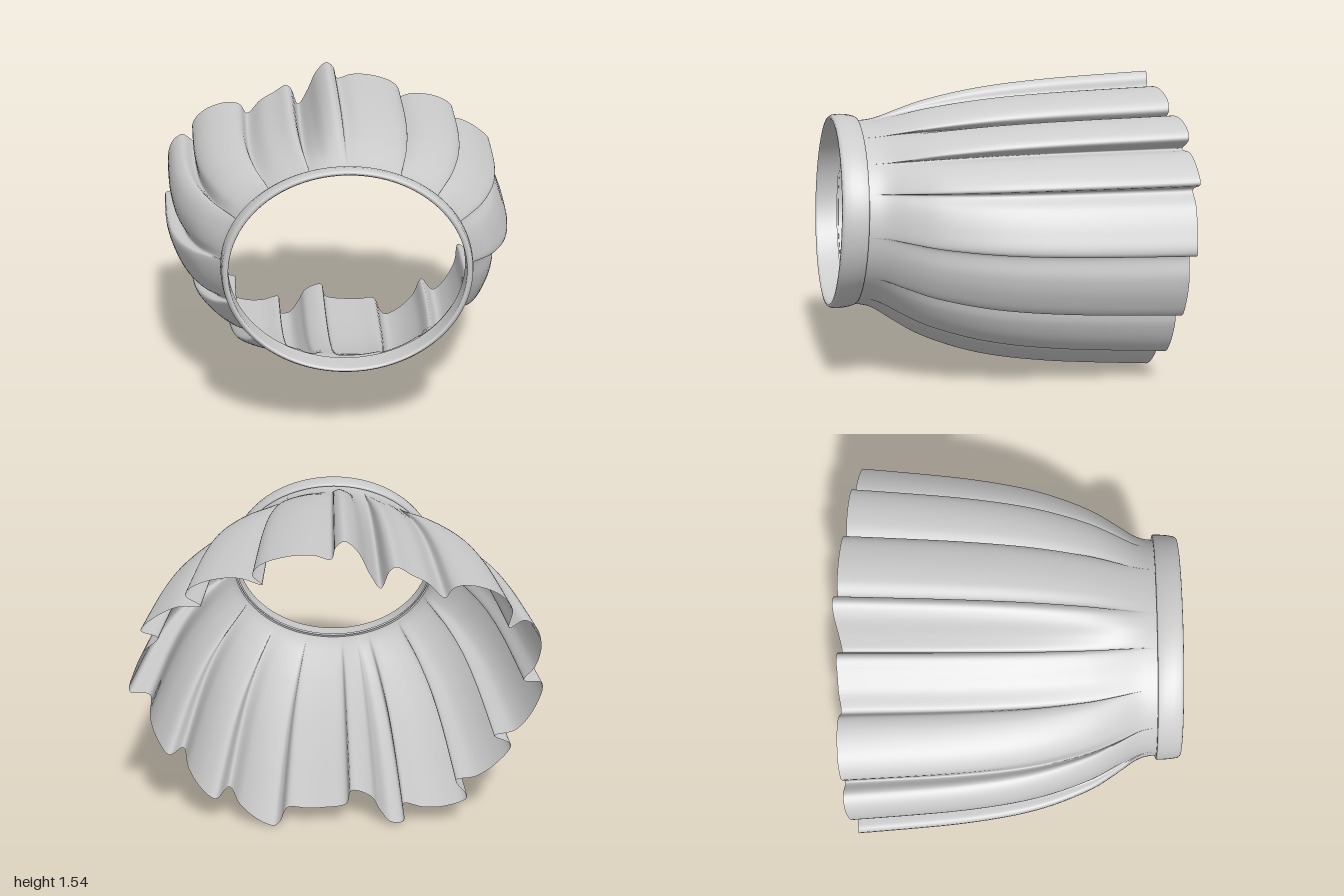
import * as THREE from 'three';

const material = new THREE.MeshStandardMaterial({ color: 0xcccccc, side: THREE.DoubleSide });

// Skins a list of closed rings (clockwise seen from the front, running front to back)
function loft(name, rings) {
  const n = rings[0].length;
  const positions = rings.flat().flatMap((p) => [p.x, p.y, p.z]);
  const index = [];
  for (let j = 0; j < rings.length - 1; j++) {
    for (let i = 0; i < n; i++) {
      const k = (i + 1) % n;
      const a = j * n + i, b = j * n + k, c = a + n, d = b + n;
      index.push(a, b, c, b, d, c);
    }
  }
  const geometry = new THREE.BufferGeometry();
  geometry.setAttribute('position', new THREE.Float32BufferAttribute(positions, 3));
  geometry.setIndex(index);
  geometry.computeVertexNormals();
  const mesh = new THREE.Mesh(geometry, material);
  mesh.name = name;
  return mesh;
}

// Hem outline, clockwise: each row is one knife pleat, from its inner fold to its tip
const pleats = [
  [-0.21, 1.31, -0.16, 1.38, -0.1, 1.5, -0.04, 1.55, 0.0, 1.52],
  [0.02, 1.46, 0.1, 1.48, 0.22, 1.475, 0.35, 1.43, 0.385, 1.38],
  [0.34, 1.33, 0.45, 1.365, 0.58, 1.355, 0.68, 1.31, 0.7, 1.275],
  [0.63, 1.22, 0.74, 1.215, 0.85, 1.16, 0.92, 1.09],
  [0.84, 1.05, 0.91, 0.98, 0.97, 0.86, 0.995, 0.755],
  [0.9, 0.74, 0.905, 0.62, 0.88, 0.51, 0.82, 0.41],
  [0.75, 0.45, 0.73, 0.34, 0.67, 0.22, 0.6, 0.16],
  [0.53, 0.23, 0.48, 0.13, 0.39, 0.04, 0.31, 0.005, 0.28, 0.03],
  [0.24, 0.11, 0.14, 0.105, 0.05, 0.11, -0.055, 0.13],
  [-0.08, 0.205, -0.18, 0.17, -0.22, 0.1, -0.28, 0.025, -0.345, 0.03],
  [-0.34, 0.13, -0.44, 0.11, -0.55, 0.115, -0.66, 0.165],
  [-0.6, 0.26, -0.7, 0.285, -0.8, 0.36, -0.865, 0.46],
  [-0.78, 0.51, -0.88, 0.54, -0.96, 0.64, -1.0, 0.795],
  [-0.91, 0.81, -0.96, 0.89, -0.98, 1.0, -0.95, 1.1, -0.89, 1.14],
  [-0.82, 1.1, -0.83, 1.2, -0.76, 1.28, -0.62, 1.325, -0.55, 1.31],
  [-0.51, 1.26, -0.43, 1.335, -0.35, 1.38, -0.28, 1.42, -0.25, 1.4],
];

function createSkirt() {
  const points = [];
  for (const row of pleats) {
    for (let i = 0; i < row.length; i += 2) points.push(new THREE.Vector3(row[i], row[i + 1], 0));
  }
  const hem = new THREE.CatmullRomCurve3(points, true, 'centripetal').getPoints(points.length * 6);
  hem.pop();

  // Flare from waist to hem: (z, share of the full spread)
  const flare = new THREE.SplineCurve([
    [0.78, 0], [0.7, 0.01], [0.63, 0.07], [0.53, 0.24], [0.4, 0.44], [0.2, 0.64],
    [0, 0.77], [-0.25, 0.87], [-0.5, 0.935], [-0.8, 1],
  ].map(([z, f]) => new THREE.Vector2(z, f)));

  const rings = flare.getPoints(36).map(({ x: z, y: f }) => hem.map((h) => {
    // Each hem point runs up to the same direction on the oval waist
    const angle = Math.atan2((h.y - 0.78) / 0.75, h.x / 0.96);
    const x = THREE.MathUtils.lerp(0.585 * Math.cos(angle), h.x, f);
    const y = THREE.MathUtils.lerp(0.85 + 0.475 * Math.sin(angle), h.y, f);
    const waistTilt = -0.06 * (y - 0.85) * (1 - f);
    const hemTilt = -0.12 * Math.max(0, y - 0.8) * f;
    return new THREE.Vector3(x, y, z + waistTilt + hemTilt);
  }));
  return loft('pleatedSkirt', rings);
}

function createWaistband() {
  // Band section: (half width, half height, z), from inner back round the front to outer back
  const section = [
    [0.575, 0.47, 0.74], [0.575, 0.475, 0.8], [0.57, 0.475, 0.85], [0.575, 0.482, 0.862],
    [0.588, 0.492, 0.86], [0.6, 0.5, 0.845], [0.606, 0.502, 0.81], [0.61, 0.498, 0.77],
    [0.612, 0.49, 0.74], [0.608, 0.486, 0.732], [0.58, 0.475, 0.732],
  ];
  const sides = 96;
  const rings = section.map(([rx, ry, z]) => Array.from({ length: sides }, (_, i) => {
    const a = (-i / sides) * Math.PI * 2;
    const y = ry * Math.sin(a);
    return new THREE.Vector3(rx * Math.cos(a), 0.86 + y, z - 0.06 * y);
  }));
  return loft('waistband', rings);
}

export function createModel() {
  const model = new THREE.Group();
  model.name = 'pleatedSkirtModel';
  model.add(createSkirt(), createWaistband());
  return model;
}
